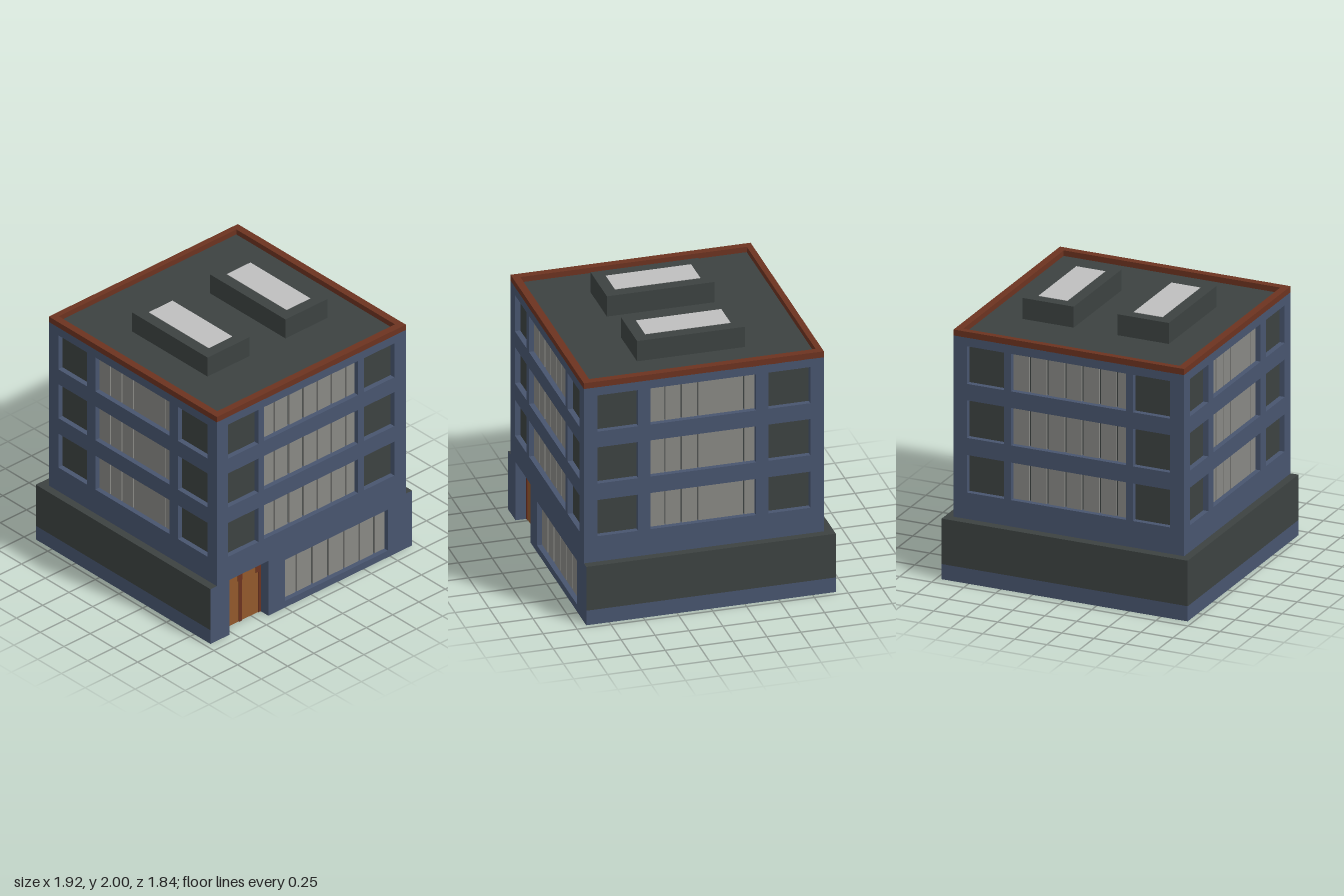
import * as THREE from 'three';

const mat = (name, color) => {
  const m = new THREE.MeshStandardMaterial({ color, side: THREE.DoubleSide });
  m.name = name;
  return m;
};

export function createModel() {
  const blue = mat('blue wall', 0x48556f);
  const dark = mat('dark slate', 0x3c4241);
  const grey = mat('blind grey', 0x888884);
  const pale = mat('skylight', 0xbebebe);
  const rust = mat('rust trim', 0x6c3320);
  const orange = mat('door wood', 0x92582c);

  const model = new THREE.Group();
  model.name = 'building';

  const add = (parent, name, geo, material, x = 0, y = 0, z = 0) => {
    const mesh = new THREE.Mesh(geo, material);
    mesh.name = name;
    mesh.position.set(x, y, z);
    parent.add(mesh);
    return mesh;
  };
  // Box and plane given by their limits
  const box = (parent, name, material, x0, x1, y0, y1, z0, z1) =>
    add(parent, name, new THREE.BoxGeometry(x1 - x0, y1 - y0, z1 - z0), material,
      (x0 + x1) / 2, (y0 + y1) / 2, (z0 + z1) / 2);
  const plane = (parent, name, material, x0, x1, y0, y1, z) =>
    add(parent, name, new THREE.PlaneGeometry(x1 - x0, y1 - y0), material,
      (x0 + x1) / 2, (y0 + y1) / 2, z);
  const floor = (name, material, x0, x1, z0, z1, y) => {
    const m = add(model, name, new THREE.PlaneGeometry(x1 - x0, z1 - z0), material,
      (x0 + x1) / 2, y, (z0 + z1) / 2);
    m.rotation.x = -Math.PI / 2;
  };
  const rectPath = (x0, x1, y0, y1) => new THREE.Path(
    [[x0, y0], [x0, y1], [x1, y1], [x1, y0]].map(p => new THREE.Vector2(...p)));

  // Inner sides of an opening
  const reveal = (parent, x0, x1, y0, y1, depth, sill = true) => {
    const ym = (y0 + y1) / 2, xm = (x0 + x1) / 2;
    for (const x of [x0, x1]) {
      const side = add(parent, 'reveal', new THREE.PlaneGeometry(depth, y1 - y0), blue, x, ym, -depth / 2);
      side.rotation.y = x === x0 ? Math.PI / 2 : -Math.PI / 2;
    }
    for (const y of sill ? [y0, y1] : [y1]) {
      const side = add(parent, 'reveal', new THREE.PlaneGeometry(x1 - x0, depth), blue, xm, y, -depth / 2);
      side.rotation.x = y === y0 ? -Math.PI / 2 : Math.PI / 2;
    }
  };

  // Grey window: panels with narrow dark joints between them
  const blindWindow = (parent, [x0, x1, y0, y1], joints, w) => {
    reveal(parent, x0, x1, y0, y1, 0.058);
    plane(parent, 'blindBack', grey, x0, x1, y0, y1, -0.058);
    const edges = [x0 - w / 2, ...joints, x1 + w / 2];
    for (let i = 0; i + 1 < edges.length; i++) {
      box(parent, 'blindPanel', grey, edges[i] + w / 2, edges[i + 1] - w / 2, y0, y1, -0.056, -0.038);
    }
    for (const x of joints) plane(parent, 'blindJoint', dark, x - w / 2, x + w / 2, y0, y1, -0.053);
  };
  const darkWindow = (parent, [x0, x1, y0, y1]) => {
    reveal(parent, x0, x1, y0, y1, 0.04);
    plane(parent, 'darkPane', dark, x0, x1, y0, y1, -0.04);
  };

  const rows = [[0.66, 0.945], [1.075, 1.36], [1.485, 1.77]];

  // Wall with three storeys of windows; local +z points outwards
  const wall = (name, outline, cols, joints, w, extra) => {
    const g = new THREE.Group();
    g.name = name;
    const shape = new THREE.Shape(outline.map(p => new THREE.Vector2(...p)));
    for (const row of rows) {
      cols.forEach((col, i) => {
        const r = [...col, ...row];
        shape.holes.push(rectPath(...r));
        if (i === 1) blindWindow(g, r, joints, w);
        else darkWindow(g, r);
      });
    }
    if (extra) shape.holes.push(rectPath(...extra));
    add(g, name + 'Surface', new THREE.ShapeGeometry(shape), blue);
    model.add(g);
    return g;
  };

  const TOP = 1.835, LEDGE = 0.46, FRONT = 0.92, BACK = -0.85;
  const wideCols = [[-0.795, -0.505], [-0.45, 0.445], [0.5, 0.79]];
  const sideCols = [[-0.785, -0.485], [-0.395, 0.385], [0.475, 0.785]];
  const wideJoints = [-0.32, -0.183, -0.045, 0.09, 0.225, 0.36];
  const sideJoints = [-0.275, -0.155, -0.035, 0.305];
  const upper = h => [[-h, LEDGE], [h, LEDGE], [h, TOP], [-h, TOP]];

  // Front wall reaches the ground and includes the doorway and shop window
  const shop = [-0.25, 0.73, 0.055, 0.4];
  const front = wall('frontWall', [
    [-0.96, 0], [-0.78, 0], [-0.78, LEDGE], [-0.41, LEDGE], [-0.41, 0], [0.96, 0],
    [0.96, LEDGE], [0.9, LEDGE], [0.9, TOP], [-0.9, TOP], [-0.9, LEDGE], [-0.96, LEDGE],
  ], wideCols, wideJoints, 0.015, shop);
  front.position.z = FRONT;
  blindWindow(front, shop, [-0.11, 0.04, 0.192, 0.343, 0.49, 0.63], 0.017);

  // Recessed double door
  reveal(front, -0.78, -0.41, 0, LEDGE, 0.09, false);
  plane(front, 'door', orange, -0.78, -0.41, 0, LEDGE, -0.085);
  for (const [x0, x1] of [[-0.78, -0.757], [-0.617, -0.59], [-0.433, -0.41]]) {
    box(front, 'doorFrame', rust, x0, x1, 0, LEDGE, -0.085, -0.079);
  }
  for (const x of [-0.757, -0.603, -0.433]) {
    box(front, 'doorHinge', rust, x - 0.021, x + 0.021, 0.34, 0.41, -0.085, -0.08);
  }

  // Back and side walls
  const back = wall('backWall', upper(0.9), wideCols, wideJoints, 0.015);
  back.position.z = BACK;
  back.rotation.y = Math.PI;
  for (const s of [-1, 1]) {
    const side = wall(s > 0 ? 'leftWall' : 'rightWall', upper(0.885), sideCols, sideJoints, 0.01);
    side.position.set(0.9 * s, 0, 0.035);
    side.rotation.y = s * Math.PI / 2;
  }

  // Ground floor skirt: blue foot, dark band above, on the back and both sides
  for (const [name, half, x, z, turn] of [
    ['leftBase', 0.92, 0.96, 0, Math.PI / 2],
    ['rightBase', 0.92, -0.96, 0, -Math.PI / 2],
    ['backBase', 0.96, 0, -0.92, Math.PI],
  ]) {
    const g = new THREE.Group();
    g.name = name;
    plane(g, 'foot', blue, -half, half, 0, 0.115, 0);
    plane(g, 'band', dark, -half, half, 0.115, LEDGE, 0);
    g.position.set(x, 0, z);
    g.rotation.y = turn;
    model.add(g);
  }
  floor('leftLedge', dark, 0.9, 0.96, -0.92, 0.92, LEDGE);
  floor('rightLedge', dark, -0.96, -0.9, -0.92, 0.92, LEDGE);
  floor('backLedge', dark, -0.9, 0.9, -0.92, BACK, LEDGE);

  // Rust parapet ring around the roof
  const ring = new THREE.Shape([[-0.9, -FRONT], [0.9, -FRONT], [0.9, -BACK], [-0.9, -BACK]]
    .map(p => new THREE.Vector2(...p)));
  ring.holes.push(rectPath(-0.845, 0.845, -0.865, 0.805));
  const parapet = add(model, 'parapet',
    new THREE.ExtrudeGeometry(ring, { depth: 0.047, bevelEnabled: false }), rust, 0, 1.833, 0);
  parapet.rotation.x = -Math.PI / 2;
  floor('roof', dark, -0.86, 0.86, -0.82, 0.88, 1.838);

  // Rooftop boxes with skylights
  for (const x of [-0.35, 0.392]) {
    box(model, 'roofBox', dark, x - 0.2, x + 0.2, 1.838, 1.997, -0.36, 0.435);
    box(model, 'skylight', pale, x - 0.113, x + 0.113, 1.995, 2, -0.28, 0.35);
  }

  return model;
}
